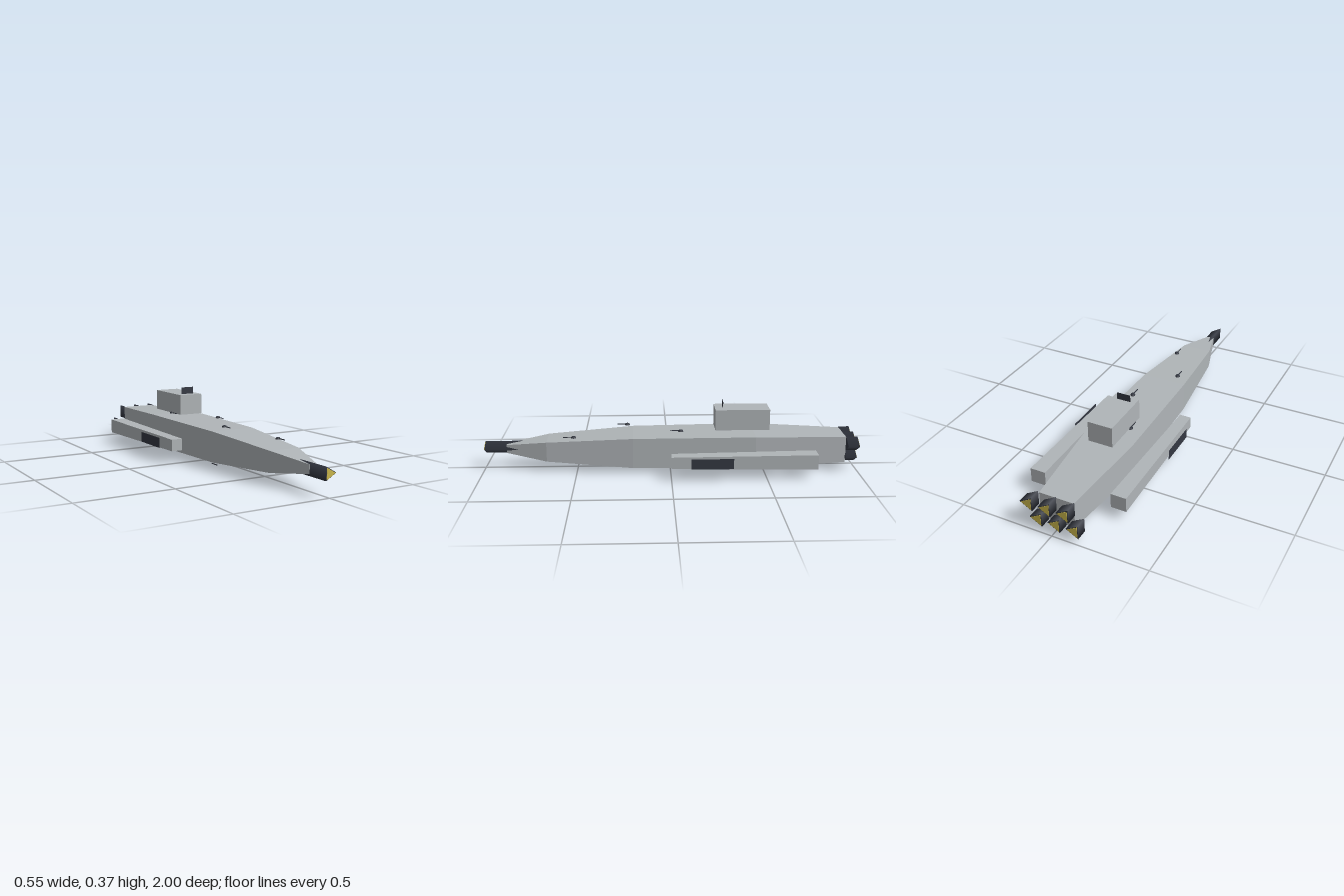
import * as THREE from 'three';

const mat = (name, color, extra = {}) => {
  const m = new THREE.MeshStandardMaterial({ color, ...extra });
  m.name = name;
  return m;
};

// Loft of rectangular sections [z, halfWidth, halfHeight], listed front to back
function rectLoft(sections, cy) {
  const rings = sections.map(([z, w, h]) =>
    [[w, -h], [w, h], [-w, h], [-w, -h]].map(([x, y]) => [x, cy + y, z]));
  const pos = [];
  const quad = (a, b, c, d) => pos.push(...a, ...b, ...c, ...a, ...c, ...d);
  quad(...rings[0]);
  for (let i = 0; i < rings.length - 1; i++) {
    for (let j = 0; j < 4; j++) {
      const k = (j + 1) % 4;
      quad(rings[i][j], rings[i + 1][j], rings[i + 1][k], rings[i][k]);
    }
  }
  quad(...rings[rings.length - 1].slice().reverse());
  const g = new THREE.BufferGeometry();
  g.setAttribute('position', new THREE.Float32BufferAttribute(pos, 3));
  g.computeVertexNormals();
  return g;
}

// Three-sided tube along z, with one corner pointing to +x
const prism = (r, length) =>
  new THREE.CylinderGeometry(r, r, length, 3).rotateX(Math.PI / 2).rotateZ(Math.PI / 2);

export function createModel() {
  const model = new THREE.Group();
  const grey = mat('hull grey', 0xb0b5b8);
  const dark = mat('dark metal', 0x343842);
  const panelDark = mat('panel dark', 0x343842, { side: THREE.DoubleSide });
  panelDark.name = 'dark panel';
  const yellow = mat('glow yellow', 0xccb84c);

  const add = (name, geo, material, x = 0, y = 0, z = 0, parent = model) => {
    const mesh = new THREE.Mesh(geo, material);
    mesh.name = name;
    mesh.position.set(x, y, z);
    parent.add(mesh);
    return mesh;
  };

  // Hull
  add('hull', rectLoft([
    [0.88, 0.02, 0.022], [0.66, 0.082, 0.053], [0.2, 0.122, 0.081],
    [-0.45, 0.135, 0.087], [-0.94, 0.092, 0.07],
  ], 0.11), grey);

  // Nose cannon
  add('noseCannon', prism(0.038, 0.197), dark, 0, 0.111, 0.8985);
  add('noseCannonTip', prism(0.032, 0.006), yellow, 0, 0.111, 0.997);

  // Two staggered rows of engines
  for (const [y, shift] of [[0.147, 0.024], [0.0725, -0.024]]) {
    for (let i = -1; i <= 1; i++) {
      const x = shift + i * 0.096;
      add('engine', prism(0.043, 0.06), dark, x, y, -0.968);
      add('engineGlow', prism(0.036, 0.004), yellow, x, y, -0.998);
    }
  }

  // Side pods with outboard panels
  for (const s of [1, -1]) {
    const pod = add('sidePod', rectLoft([[0, 0.031, 0.031], [-0.76, 0.041, 0.039]], 0.098), grey);
    pod.position.x = s * 0.2205;
    add('podPanel', new THREE.PlaneGeometry(0.22, 0.055).rotateY(s * Math.PI / 2),
      panelDark, s * 0.273, 0.098, -0.21);
  }

  // Command tower and its front screen
  add('tower', new THREE.BoxGeometry(0.134, 0.111, 0.29), grey, 0, 0.2725, -0.385);
  add('towerScreen', new THREE.PlaneGeometry(0.076, 0.038), panelDark, 0, 0.347, -0.282);

  // Deck turrets
  for (const [x, y, z] of [[0.066, 0.187, 0.515], [-0.068, 0.2175, 0.23],
    [0.066, 0.2175, -0.055], [-0.068, 0.2175, -0.34]]) {
    const turret = new THREE.Group();
    turret.name = 'deckTurret';
    turret.position.set(x, y, z);
    add('turretBase', new THREE.CylinderGeometry(0.01, 0.014, 0.009, 8), dark, 0, 0, 0, turret);
    add('turretBarrel', new THREE.BoxGeometry(0.004, 0.004, 0.056), dark, 0, 0, 0.028, turret);
    model.add(turret);
  }

  // Belly guns
  for (const [x, y, z] of [[0.066, 0.034, 0.415], [-0.068, 0.002, 0.132],
    [0.066, 0.002, -0.155], [-0.068, 0.002, -0.44]]) {
    add('bellyGun', new THREE.BoxGeometry(0.004, 0.004, 0.055), dark, x, y, z);
  }

  return model;
}
